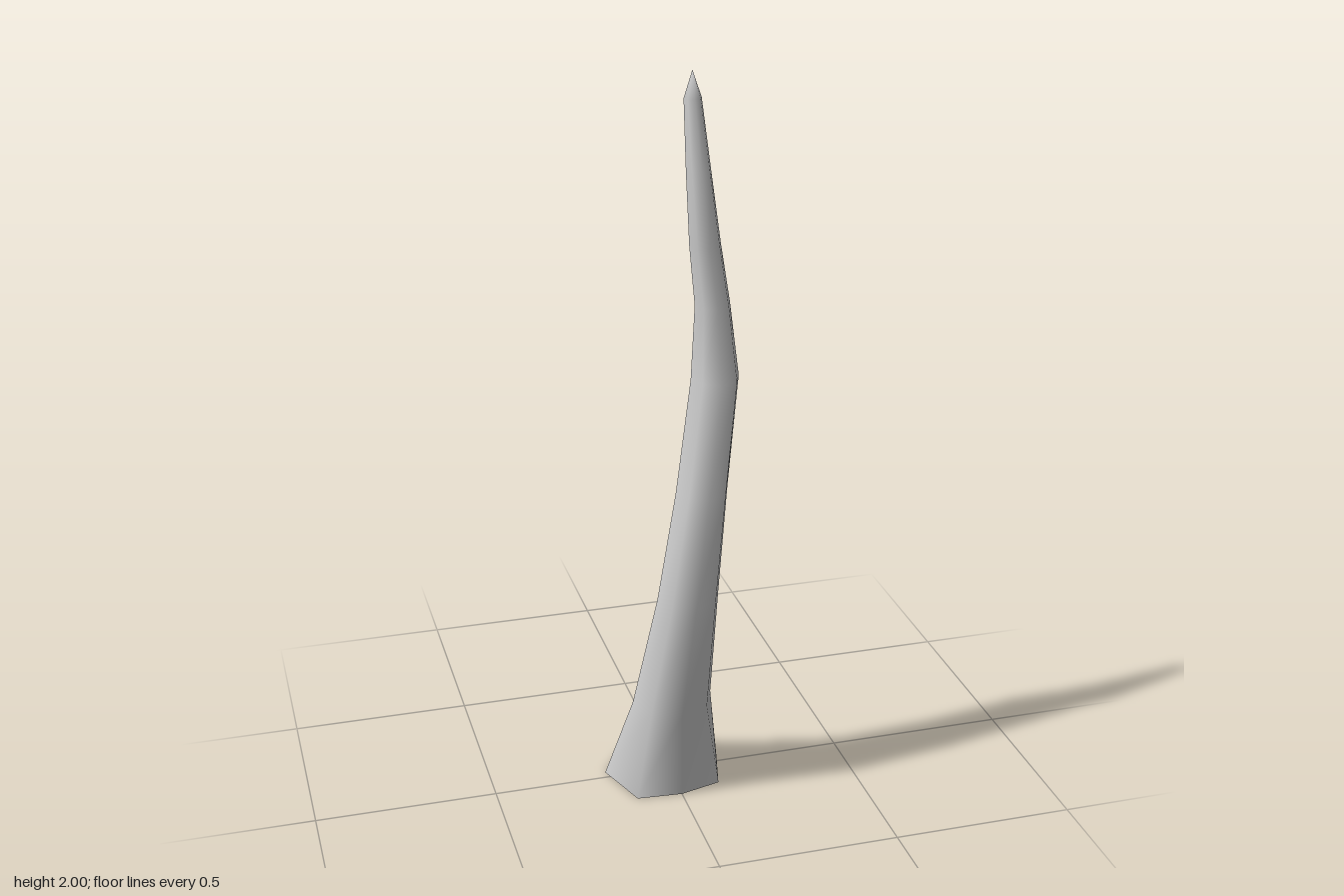
import * as THREE from 'three';

const SIDES = 8;

// Uneven flared foot, corners as [x, z] starting at +x and turning towards +z
const FOOT = [
  [0.15, -0.025], [0.115, 0.11], [0, 0.14], [-0.125, 0.13],
  [-0.18, -0.025], [-0.125, -0.105], [-0.01, -0.19], [0.11, -0.105],
];

// Rings up the winding shaft: y, x min, x max, z min, z max
const RINGS = [
  [0.26, -0.115, 0.108, -0.065, 0.155],
  [0.6, -0.06, 0.11, 0.02, 0.188],
  [0.9, -0.005, 0.137, 0.014, 0.163],
  [1.2, 0.045, 0.176, -0.015, 0.118],
  [1.4, 0.057, 0.152, -0.006, 0.094],
  [1.56, 0.042, 0.126, -0.002, 0.088],
  [1.75, 0.038, 0.104, -0.01, 0.057],
  [1.93, 0.037, 0.084, -0.016, 0.024],
];
const TIP = [0.06, 2, 0.002];

function ringPoints([y, x0, x1, z0, z1]) {
  return Array.from({ length: SIDES }, (_, k) => {
    const a = (k / SIDES) * Math.PI * 2;
    return [
      (x0 + x1) / 2 + Math.cos(a) * (x1 - x0) / 2,
      y,
      (z0 + z1) / 2 + Math.sin(a) * (z1 - z0) / 2,
    ];
  });
}

function makeGeometry(points, index) {
  const geometry = new THREE.BufferGeometry();
  geometry.setAttribute('position', new THREE.Float32BufferAttribute(points.flat(), 3));
  geometry.setIndex(index);
  geometry.computeVertexNormals();
  return geometry;
}

export function createModel() {
  const model = new THREE.Group();
  model.name = 'twistedSpike';
  const material = new THREE.MeshStandardMaterial({ color: 0xcccccc });
  const foot = FOOT.map(([x, z]) => [x, 0, z]);

  // Shaft: loft through the rings, closed by a pointed tip
  const rows = [foot, ...RINGS.map(ringPoints)];
  const points = [...rows.flat(), TIP];
  const apex = points.length - 1;
  const index = [];
  for (let r = 0; r < rows.length; r++) {
    for (let k = 0; k < SIDES; k++) {
      const a = r * SIDES + k;
      const b = r * SIDES + (k + 1) % SIDES;
      if (r === rows.length - 1) index.push(a, apex, b);
      else index.push(a, a + SIDES, b, b, a + SIDES, b + SIDES);
    }
  }
  const shaft = new THREE.Mesh(makeGeometry(points, index), material);
  shaft.name = 'shaft';
  model.add(shaft);

  // Flat underside
  const fan = [];
  for (let k = 0; k < SIDES; k++) fan.push(SIDES, k, (k + 1) % SIDES);
  const underside = new THREE.Mesh(makeGeometry([...foot, [0, 0, 0]], fan), material);
  underside.name = 'underside';
  model.add(underside);

  return model;
}
